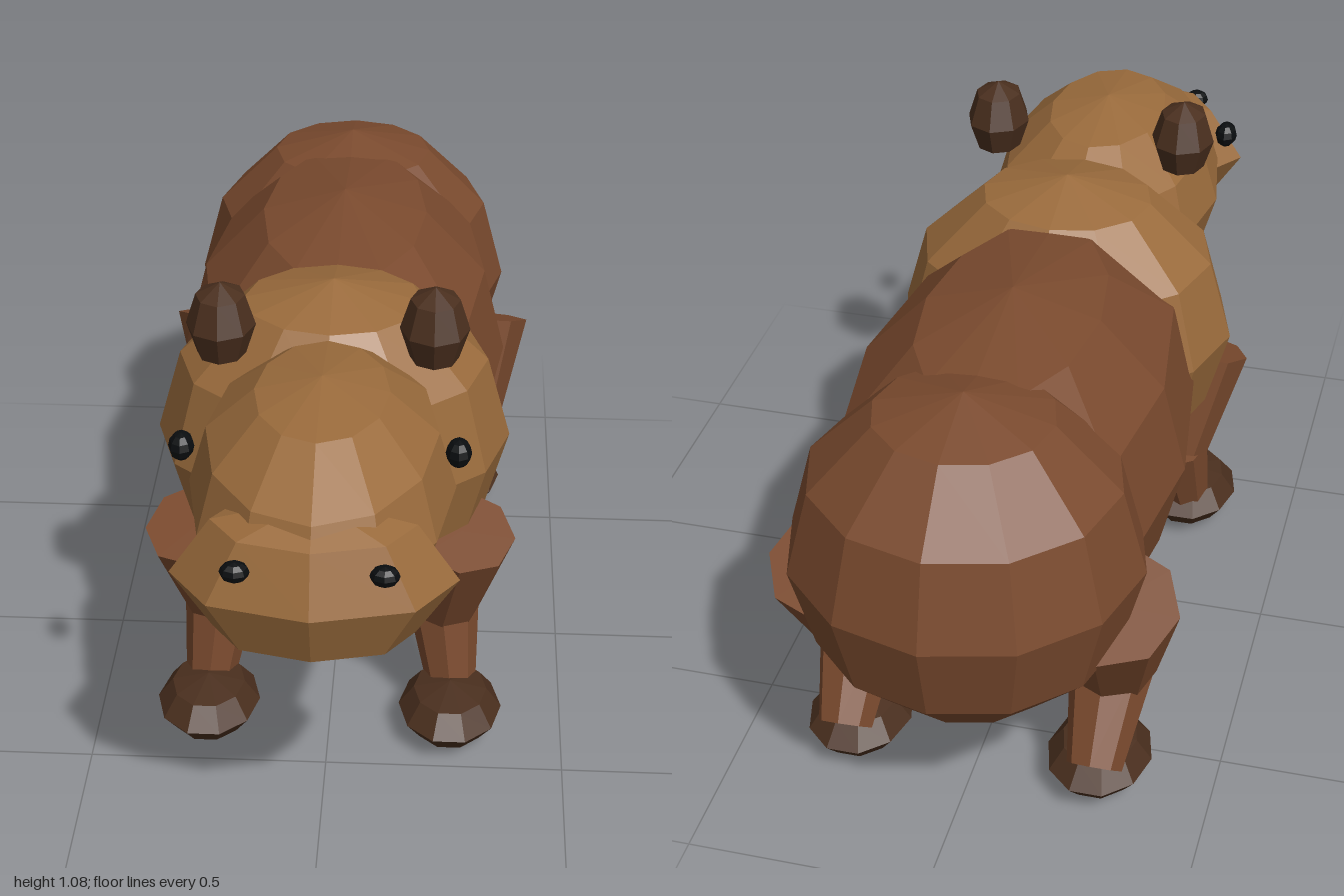
import * as THREE from 'three';

const paint = (name, color) => {
  const m = new THREE.MeshStandardMaterial({ color, flatShading: true });
  m.name = name;
  return m;
};

export function createModel() {
  const hide = paint('brown hide', 0x7a4a2e);
  const tan = paint('tan hide', 0x9a6b3c);
  const dark = paint('dark brown', 0x4a2f1e);
  const black = paint('black', 0x0a0d0f);
  const group = new THREE.Group();

  const add = (name, geometry, material, parent = group) => {
    const mesh = new THREE.Mesh(geometry, material);
    mesh.name = name;
    parent.add(mesh);
    return mesh;
  };

  // Faceted ellipsoid from its centre and three radii
  const ellipsoid = (name, material, centre, radii, around, high, parent) => {
    const g = new THREE.SphereGeometry(1, around, high);
    g.scale(...radii);
    g.translate(...centre);
    return add(name, g, material, parent);
  };

  // Tapered eight-sided limb between two points
  const limb = (name, a, b, ra, rb, parent) => {
    const top = new THREE.Vector3(...a), bottom = new THREE.Vector3(...b);
    const axis = top.clone().sub(bottom);
    const mesh = add(name, new THREE.CylinderGeometry(ra, rb, axis.length(), 8), hide, parent);
    mesh.position.copy(top).add(bottom).multiplyScalar(0.5);
    mesh.quaternion.setFromUnitVectors(new THREE.Vector3(0, 1, 0), axis.normalize());
  };

  // Trunk and head
  ellipsoid('rump', hide, [0, 0.604, -0.655], [0.36, 0.362, 0.345], 12, 6);
  ellipsoid('body', hide, [0, 0.593, -0.29], [0.362, 0.385, 0.7], 12, 6);
  ellipsoid('shoulders', tan, [0, 0.632, 0.17], [0.37, 0.355, 0.32], 12, 6);
  ellipsoid('head', tan, [0, 0.743, 0.57], [0.26, 0.238, 0.4], 12, 6);
  ellipsoid('snout', tan, [0, 0.71, 0.845], [0.27, 0.167, 0.153], 8, 4);

  for (const [side, s] of [['left', 1], ['right', -1]]) {
    // Face details
    ellipsoid(side + 'Ear', dark, [s * 0.21, 0.991, 0.385], [0.069, 0.089, 0.08], 8, 4);
    ellipsoid(side + 'Eye', black, [s * 0.262, 0.87, 0.655], [0.025, 0.028, 0.033], 8, 6);
    ellipsoid(side + 'Nostril', black, [s * 0.135, 0.794, 0.965], [0.028, 0.02, 0.024], 8, 6);

    // Bent front leg
    const front = new THREE.Group();
    front.name = side + 'FrontLeg';
    group.add(front);
    limb('upperLeg', [s * 0.275, 0.49, 0.333], [s * 0.24, 0.26, 0.258], 0.113, 0.077, front);
    limb('lowerLeg', [s * 0.24, 0.265, 0.258], [s * 0.26, 0.1, 0.305], 0.077, 0.055, front);
    ellipsoid('foot', dark, [s * 0.26, 0.067, 0.365], [0.11, 0.063, 0.14], 10, 4, front);

    // Bent back leg
    const back = new THREE.Group();
    back.name = side + 'BackLeg';
    group.add(back);
    limb('upperLeg', [s * 0.285, 0.495, -0.635], [s * 0.27, 0.26, -0.535], 0.14, 0.093, back);
    limb('lowerLeg', [s * 0.27, 0.265, -0.535], [s * 0.267, 0.1, -0.68], 0.09, 0.058, back);
    ellipsoid('foot', dark, [s * 0.26, 0.067, -0.595], [0.11, 0.063, 0.14], 10, 4, back);
  }
  return group;
}
